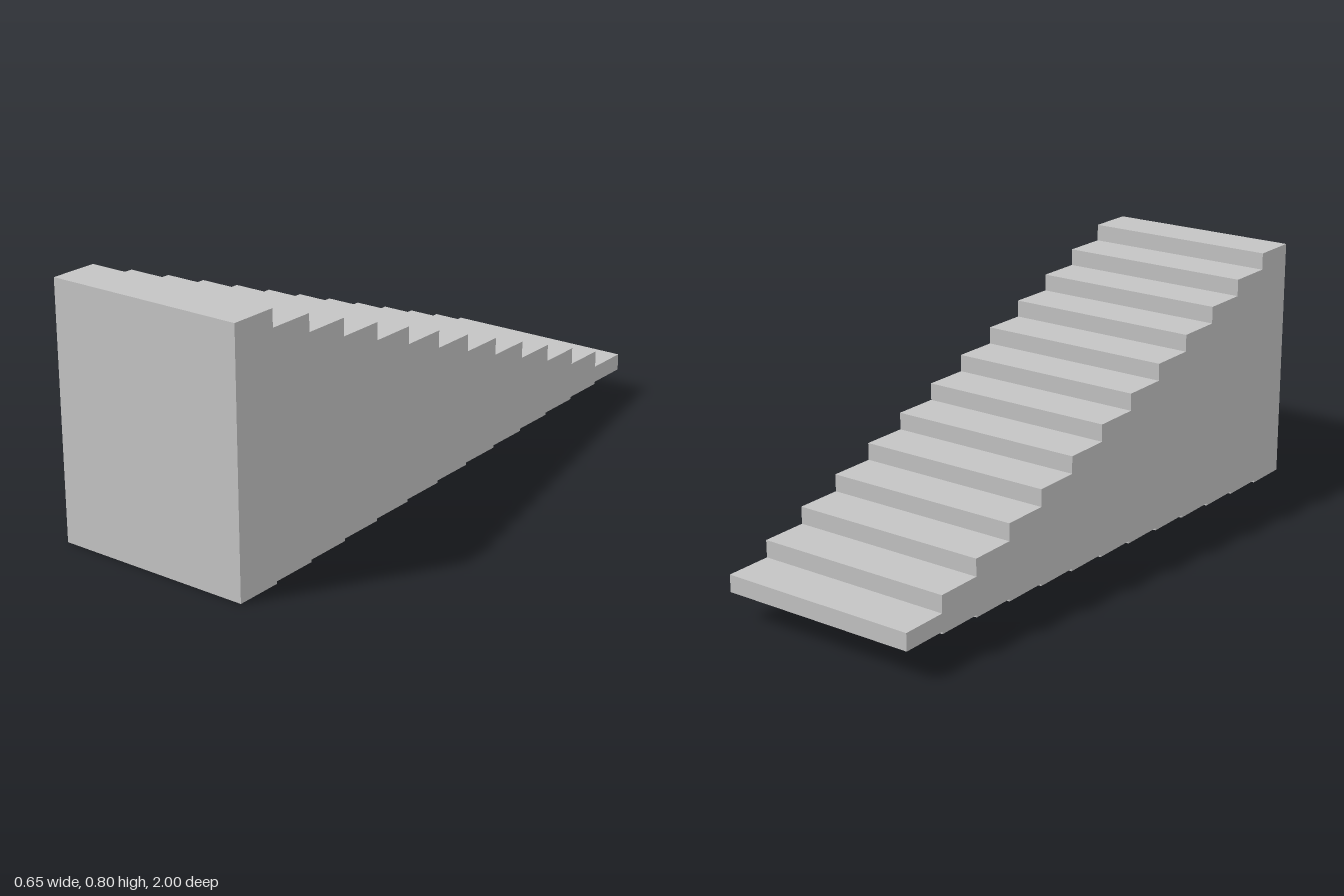
import * as THREE from 'three';

const STEPS = 13;
const DEPTH = 2 / STEPS;
const WIDTH = 0.654;
const RISE = 0.0548; // tread height gain per step
const DROP = 0.0075; // underside fall per step
const LOW_TREAD = 0.145;

export function createModel() {
  const model = new THREE.Group();
  model.name = 'staircase';
  const grey = new THREE.MeshStandardMaterial({ color: 0xc4c4c4 });
  grey.name = 'light stone grey';

  // Side profile: treads climb from the back to the front, the underside steps down
  const points = [];
  for (let i = 0; i < STEPS; i++) {
    const y = DROP * (STEPS - 1 - i);
    points.push(new THREE.Vector2(-1 + i * DEPTH, y), new THREE.Vector2(-1 + (i + 1) * DEPTH, y));
  }
  for (let i = STEPS - 1; i >= 0; i--) {
    const y = LOW_TREAD + RISE * i;
    points.push(new THREE.Vector2(-1 + (i + 1) * DEPTH, y), new THREE.Vector2(-1 + i * DEPTH, y));
  }

  // Extrude across the width, then turn the profile so its length runs along z
  const geometry = new THREE.ExtrudeGeometry(new THREE.Shape(points), { depth: WIDTH, bevelEnabled: false });
  geometry.translate(0, 0, -WIDTH / 2);
  geometry.rotateY(-Math.PI / 2);

  const flight = new THREE.Mesh(geometry, grey);
  flight.name = 'stairFlight';
  model.add(flight);
  return model;
}
